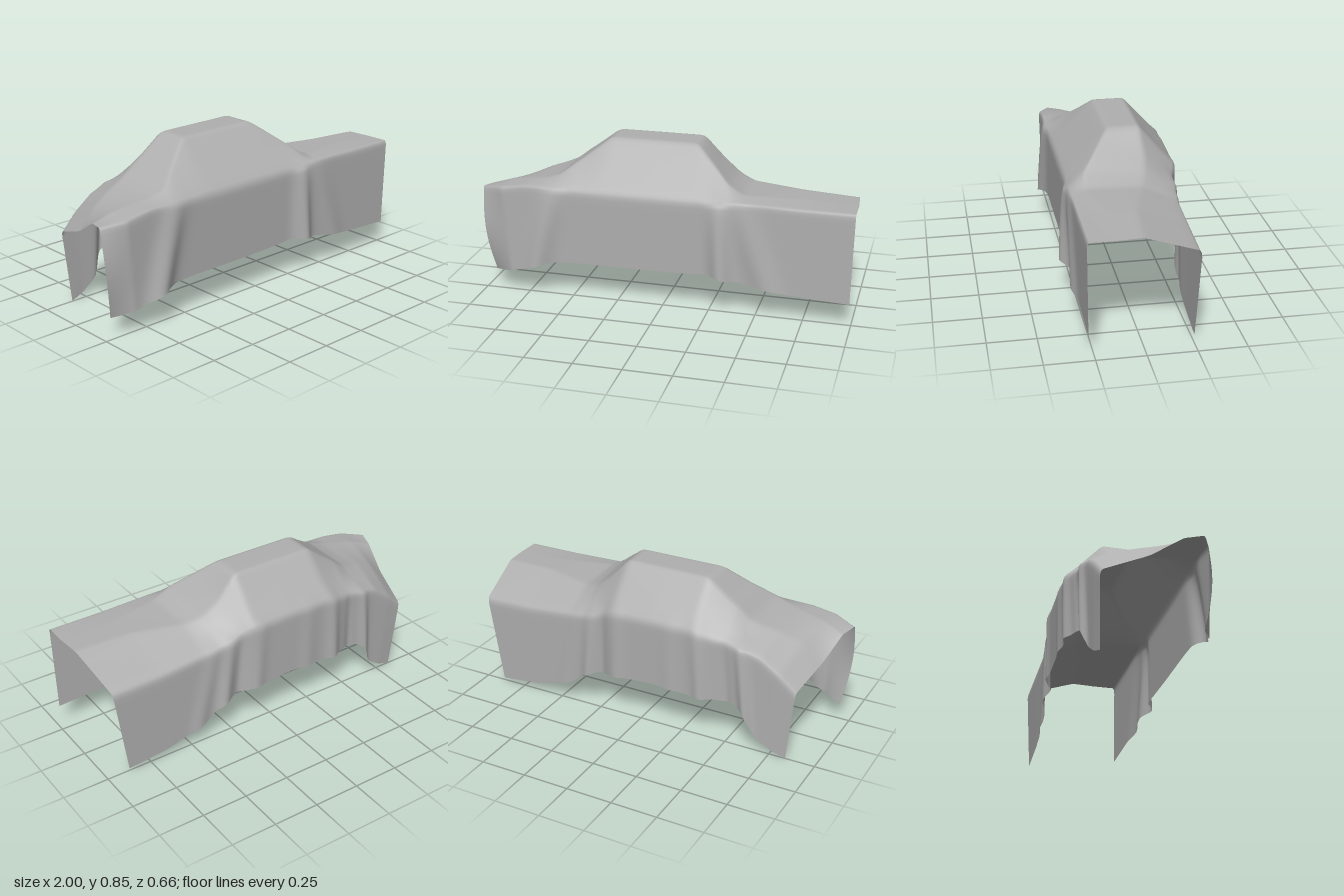
import * as THREE from 'three';

// Stations along the car:
// x, front hem y, front shoulder y, roof front y, roof front z,
// roof back z, roof back y, back shoulder y, back shoulder z, back hem y
const STATIONS = [
  [-1.0, 0.10, 0.58, 0.57, 0.13, -0.03, 0.475, 0.395, -0.26, 0.0],
  [-0.88, 0.12, 0.60, 0.61, 0.15, -0.05, 0.57, 0.48, -0.27, 0.03],
  [-0.75, 0.16, 0.62, 0.63, 0.17, -0.08, 0.62, 0.55, -0.275, 0.09],
  [-0.67, 0.19, 0.62, 0.642, 0.19, -0.10, 0.64, 0.57, -0.28, 0.22],
  [-0.58, 0.20, 0.62, 0.67, 0.20, -0.12, 0.67, 0.585, -0.285, 0.25],
  [-0.45, 0.205, 0.61, 0.76, 0.12, -0.12, 0.76, 0.60, -0.30, 0.26],
  [-0.33, 0.205, 0.61, 0.85, 0.05, -0.12, 0.85, 0.63, -0.32, 0.26],
  [-0.10, 0.205, 0.61, 0.85, 0.05, -0.12, 0.85, 0.63, -0.32, 0.27],
  [0.14, 0.21, 0.61, 0.85, 0.05, -0.12, 0.85, 0.62, -0.315, 0.25],
  [0.25, 0.22, 0.61, 0.765, 0.13, -0.13, 0.73, 0.57, -0.285, 0.23],
  [0.34, 0.205, 0.62, 0.69, 0.20, -0.11, 0.66, 0.55, -0.28, 0.19],
  [0.42, 0.19, 0.625, 0.64, 0.20, -0.08, 0.63, 0.54, -0.275, 0.12],
  [0.70, 0.145, 0.62, 0.63, 0.15, 0.0, 0.63, 0.52, -0.275, 0.05],
  [1.0, 0.13, 0.62, 0.62, 0.15, 0.02, 0.62, 0.51, -0.27, 0.02],
];

// Hanging folds: x at shoulder, x at hem, width, outward depth
const FRONT_FOLDS = [
  [-0.58, -0.69, 0.07, 0.043], [0.30, 0.32, 0.055, 0.05], [0.40, 0.56, 0.08, 0.024],
];
const BACK_FOLDS = [
  [-0.58, -0.62, 0.035, 0.03], [-0.49, -0.51, 0.03, -0.015], [-0.36, -0.38, 0.04, 0.026],
  [-0.20, -0.20, 0.05, 0.01], [0.10, 0.12, 0.04, 0.012], [0.20, 0.22, 0.03, -0.015],
  [0.27, 0.31, 0.04, 0.025], [0.36, 0.46, 0.05, 0.012],
];

const clamp01 = (t) => Math.min(1, Math.max(0, t));

function station(x) {
  const u = Math.min(1, Math.max(-1, x));
  let k = 0;
  while (k < STATIONS.length - 2 && u > STATIONS[k + 1][0]) k++;
  const a = STATIONS[k], b = STATIONS[k + 1];
  const t = (u - a[0]) / (b[0] - a[0]);
  return a.map((v, i) => v + (b[i] - v) * t);
}

// Station values averaged a little along x so the cloth bends softly
function softStation(x) {
  const r = Math.min(0.02, 1 - Math.abs(x));
  const s = [station(x - r), station(x), station(x + r)];
  return s[1].map((v, i) => (s[0][i] + 2 * v + s[2][i]) / 4);
}

function foldDepth(folds, x, hang) {
  return folds.reduce((sum, [top, hem, width, depth]) => {
    const d = (x - (top + (hem - top) * hang)) / width;
    return sum + depth * Math.pow(hang, 0.4) * Math.exp(-d * d);
  }, 0);
}

// One cross-section from front hem, over the roof, to back hem
function section(x) {
  const [, hemF, yF, y1, z1, z2, y2, yB, zB, hemB] = softStation(x);
  const leftEnd = clamp01((-x - 0.5) / 0.5), rightEnd = clamp01((x - 0.4) / 0.6);
  const leftTip = clamp01((-x - 0.88) / 0.12);
  const zF = 0.287 - 0.06 * leftTip;
  const leftDx = [0.05, 0, 0.03, 0.07, 0.12, 0.16];
  const rightDx = [0.01, 0, 0, 0.01, 0.05, 0.12];
  const corners = [[hemF, zF - 0.005], [yF, zF], [y1, z1], [y2, z2], [yB, zB], [hemB, zB + 0.01]]
    .map(([y, z], i) => new THREE.Vector3(x + leftDx[i] * leftEnd - rightDx[i] * rightEnd, y, z));

  const points = [];
  const round = 0.08;
  for (let i = 0; i < 5; i++) {
    const a = corners[i], b = corners[i + 1];
    const start = i === 0 ? 0 : round, end = i === 4 ? 1 : 1 - round;
    const steps = i === 0 || i === 4 ? 12 : 6;
    for (let k = 0; k <= steps; k++) {
      points.push(a.clone().lerp(b, start + (end - start) * k / steps));
    }
    // Rounded crease to the next panel
    if (i < 4) {
      const bend = new THREE.QuadraticBezierCurve3(
        a.clone().lerp(b, 1 - round), b, b.clone().lerp(corners[i + 2], round));
      points.push(bend.getPoint(0.33), bend.getPoint(0.67));
    }
  }
  // Push the hanging sides out into folds, with a soft belly at the left front edge
  for (const p of points) {
    if (p.z > 0.2) {
      const hang = clamp01((yF - p.y) / (yF - hemF));
      const belly = leftTip * Math.sin(Math.PI * hang);
      p.z += foldDepth(FRONT_FOLDS, p.x, hang) + 0.03 * belly;
      p.x -= 0.015 * belly;
    }
    if (p.z < -0.2) p.z -= foldDepth(BACK_FOLDS, p.x, clamp01((yB + 0.05 - p.y) / (yB + 0.05 - hemB)));
  }
  return points;
}

function drapedSheet(columns) {
  const positions = [], index = [];
  let rows = 0;
  for (let i = 0; i <= columns; i++) {
    const points = section(-1 + 2 * i / columns);
    rows = points.length;
    for (const p of points) positions.push(p.x, p.y, p.z);
  }
  for (let i = 0; i < columns; i++) {
    for (let j = 0; j < rows - 1; j++) {
      const a = i * rows + j, b = a + rows;
      index.push(a, b, a + 1, b, b + 1, a + 1);
    }
  }
  const geometry = new THREE.BufferGeometry();
  geometry.setAttribute('position', new THREE.Float32BufferAttribute(positions, 3));
  geometry.setIndex(index);
  geometry.computeVertexNormals();
  return geometry;
}

export function createModel() {
  const clothGrey = new THREE.MeshStandardMaterial({ color: 0xb0b0b0, side: THREE.DoubleSide });
  clothGrey.name = 'clothGrey';

  const group = new THREE.Group();
  group.name = 'carCover';
  const sheet = new THREE.Mesh(drapedSheet(160), clothGrey);
  sheet.name = 'drapedSheet';
  group.add(sheet);
  return group;
}
